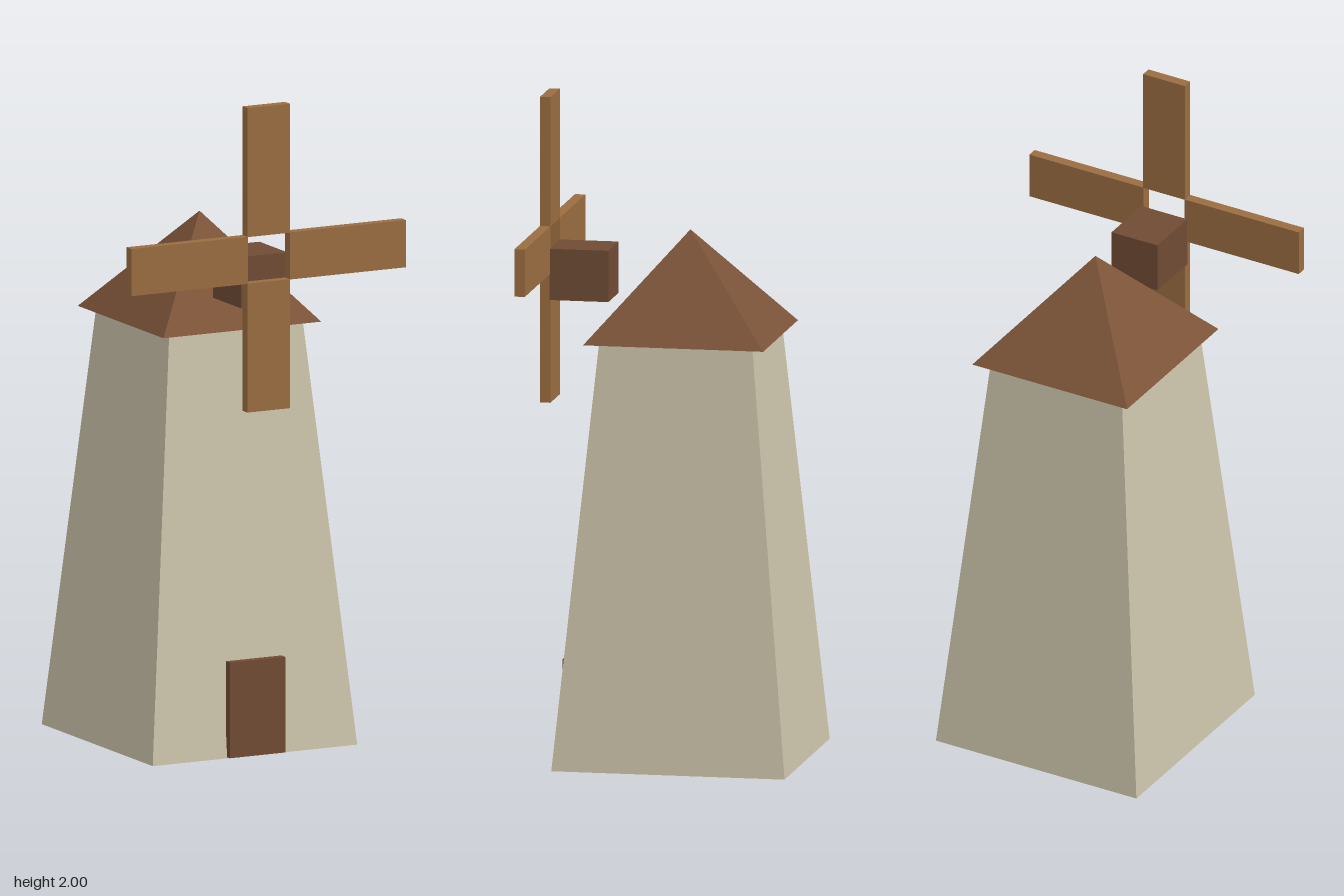
import * as THREE from 'three';

const material = (name, color) => {
  const m = new THREE.MeshStandardMaterial({ color });
  m.name = name;
  return m;
};

// Four-sided frustum standing on y = 0; sizes are half widths
function frustum(bottomX, bottomZ, topX, topZ, height) {
  const g = new THREE.BoxGeometry(2, height, 2).translate(0, height / 2, 0);
  const p = g.attributes.position;
  for (let i = 0; i < p.count; i++) {
    const top = p.getY(i) > height / 2;
    p.setX(i, p.getX(i) * (top ? topX : bottomX));
    p.setZ(i, p.getZ(i) * (top ? topZ : bottomZ));
  }
  const flat = g.toNonIndexed();
  flat.computeVertexNormals();
  return flat;
}

export function createModel() {
  const model = new THREE.Group();
  model.name = 'windmill';
  const stone = material('pale stone', 0xcac2a9);
  const roofBrown = material('roof brown', 0x7b5338);
  const darkWood = material('dark wood', 0x6f4b34);
  const sailWood = material('sail wood', 0x9a6d40);

  const add = (name, geometry, mat, x, y, z, parent = model) => {
    const mesh = new THREE.Mesh(geometry, mat);
    mesh.name = name;
    mesh.position.set(x, y, z);
    parent.add(mesh);
    return mesh;
  };

  // Tapered tower and overhanging pyramid roof
  add('tower', frustum(0.346, 0.356, 0.226, 0.234, 1.285), stone, 0, 0, -0.045);
  const roof = new THREE.ConeGeometry(Math.SQRT2, 0.315, 4, 1).rotateY(Math.PI / 4)
    .scale(0.267, 1, 0.275).toNonIndexed();
  roof.computeVertexNormals();
  add('roof', roof, roofBrown, 0, 1.285 + 0.315 / 2, -0.045);

  // Door and sail hub
  add('door', new THREE.BoxGeometry(0.188, 0.292, 0.025), darkWood, 0, 0.149, 0.315);
  add('hub', new THREE.BoxGeometry(0.158, 0.156, 0.18), darkWood, 0, 1.462, 0.28);

  // Four sails around an open centre
  const sails = new THREE.Group();
  sails.name = 'sails';
  sails.position.set(0, 1.535, 0.384);
  model.add(sails);
  const sail = new THREE.BoxGeometry(0.144, 0.394, 0.032).translate(0, 0.268, 0);
  for (let i = 0; i < 4; i++) {
    add('sail', sail, sailWood, 0, 0, 0, sails).rotation.z = i * Math.PI / 2;
  }
  return model;
}
